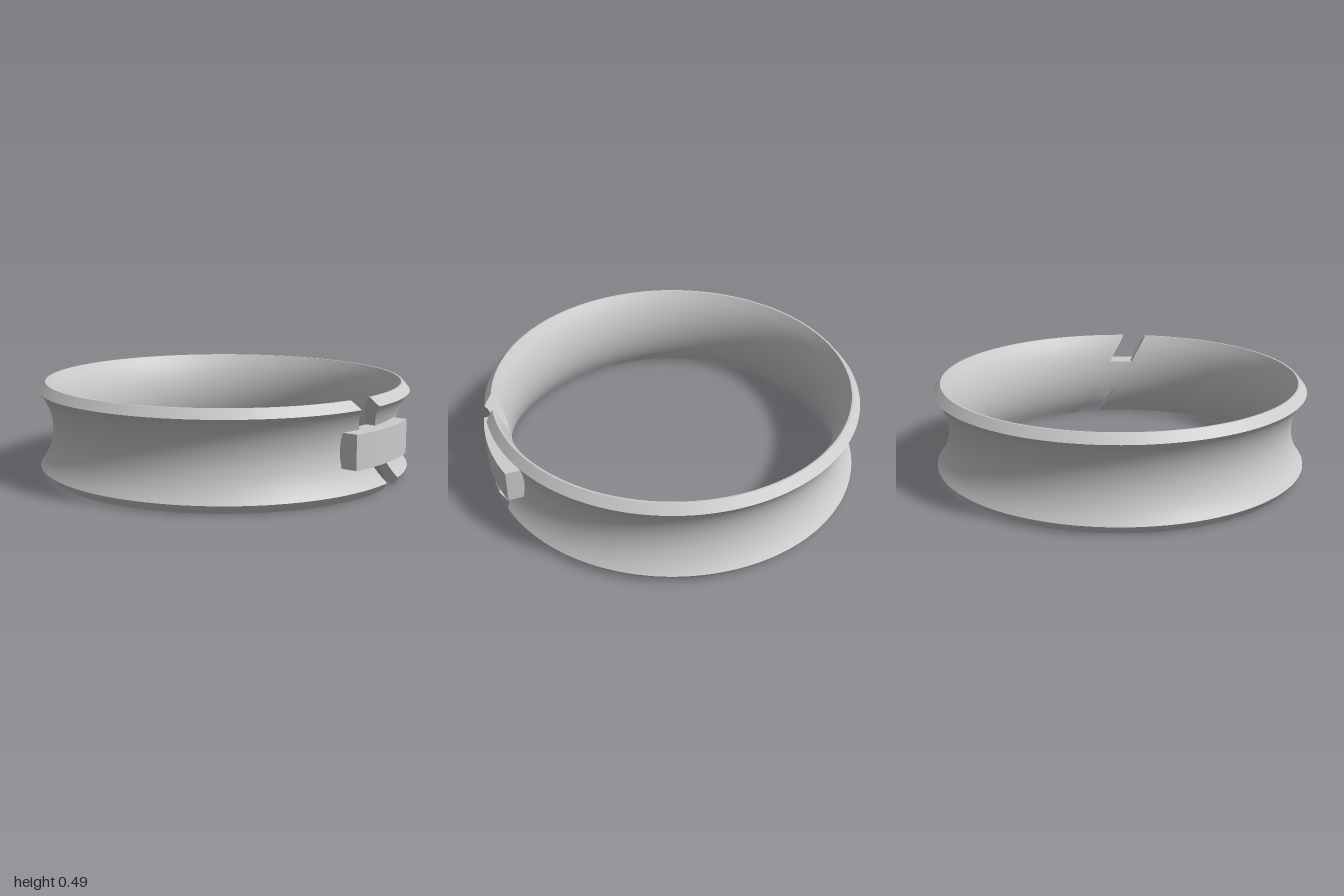
import * as THREE from 'three';
import { toCreasedNormals } from 'three/addons/utils/BufferGeometryUtils.js';

const H = 0.49, MID = H / 2, CENTRE_Z = -0.0075;
const RIM = 0.045, RIM_R = 0.9925, LIP_R = 0.955;

// Radius of an arc-shaped waist at height y
const waist = (y, minR, arcR) => minR + arcR - Math.sqrt(arcR ** 2 - (y - MID) ** 2);
const innerR = y => waist(y, 0.87, 0.4375);
function outerR(y) {
  const edge = Math.min(y, H - y);
  if (edge < RIM) return LIP_R + (RIM_R - LIP_R) * edge / RIM;
  return waist(y, 0.92, 0.32);
}

// Slanted slit: centre line and half width, as x at height y
const slitX = y => -0.022 + 0.59 * (MID - y);
const SLIT_HALF = 0.067;

// Sweeps a wall (outer and inner radius at each height) round the y axis,
// from startAngle(r, y) to endAngle(r, y), and closes both ends
function sweepWall(heights, outer, inner, startAngle, endAngle, segments) {
  const n = heights.length;
  const loop = [
    ...heights.map(y => [outer(y), y]),
    ...heights.map(y => [inner(y), y]).reverse(),
  ];
  const rows = loop.map(([r, y]) => {
    const a = startAngle(r, y), b = endAngle(r, y);
    return Array.from({ length: segments + 1 }, (_, i) => {
      const t = a + (b - a) * i / segments;
      return [r * Math.sin(t), y, r * Math.cos(t)];
    });
  });
  const positions = [];
  const quad = (a, b, c, d) => positions.push(...a, ...b, ...c, ...a, ...c, ...d);
  for (let j = 0; j < loop.length; j++) {
    const p = rows[j], q = rows[(j + 1) % loop.length];
    for (let i = 0; i < segments; i++) quad(p[i], p[i + 1], q[i + 1], q[i]);
  }
  for (let k = 0; k < n - 1; k++) {
    const corners = [rows[k], rows[k + 1], rows[2 * n - 2 - k], rows[2 * n - 1 - k]];
    quad(...corners.map(r => r[0]));
    quad(...corners.map(r => r[segments]).reverse());
  }
  const geometry = new THREE.BufferGeometry();
  geometry.setAttribute('position', new THREE.Float32BufferAttribute(positions, 3));
  return toCreasedNormals(geometry, Math.PI / 6);
}

const steps = (from, to, count) =>
  Array.from({ length: count + 1 }, (_, i) => from + (to - from) * i / count);

export function createModel() {
  const group = new THREE.Group();
  group.name = 'splitRing';
  const material = new THREE.MeshStandardMaterial({ color: 0xcccccc });
  const add = (name, geometry) => {
    const mesh = new THREE.Mesh(geometry, material);
    mesh.name = name;
    mesh.position.z = CENTRE_Z;
    group.add(mesh);
  };

  // Waisted band with chamfered rims, open at the slit
  add('band', sweepWall(
    [0, ...steps(RIM, H - RIM, 20), H], outerR, innerR,
    (r, y) => Math.asin((slitX(y) + SLIT_HALF) / r),
    (r, y) => 2 * Math.PI + Math.asin((slitX(y) - SLIT_HALF) / r),
    180));

  // Curved clasp that bridges the slit, flush with the inside of the band
  add('clasp', sweepWall(
    steps(0.16, 0.335, 8), () => 1.0075, y => innerR(y) + 0.002,
    r => Math.asin(-0.255 / r),
    r => Math.asin(0.237 / r),
    20));

  return group;
}
